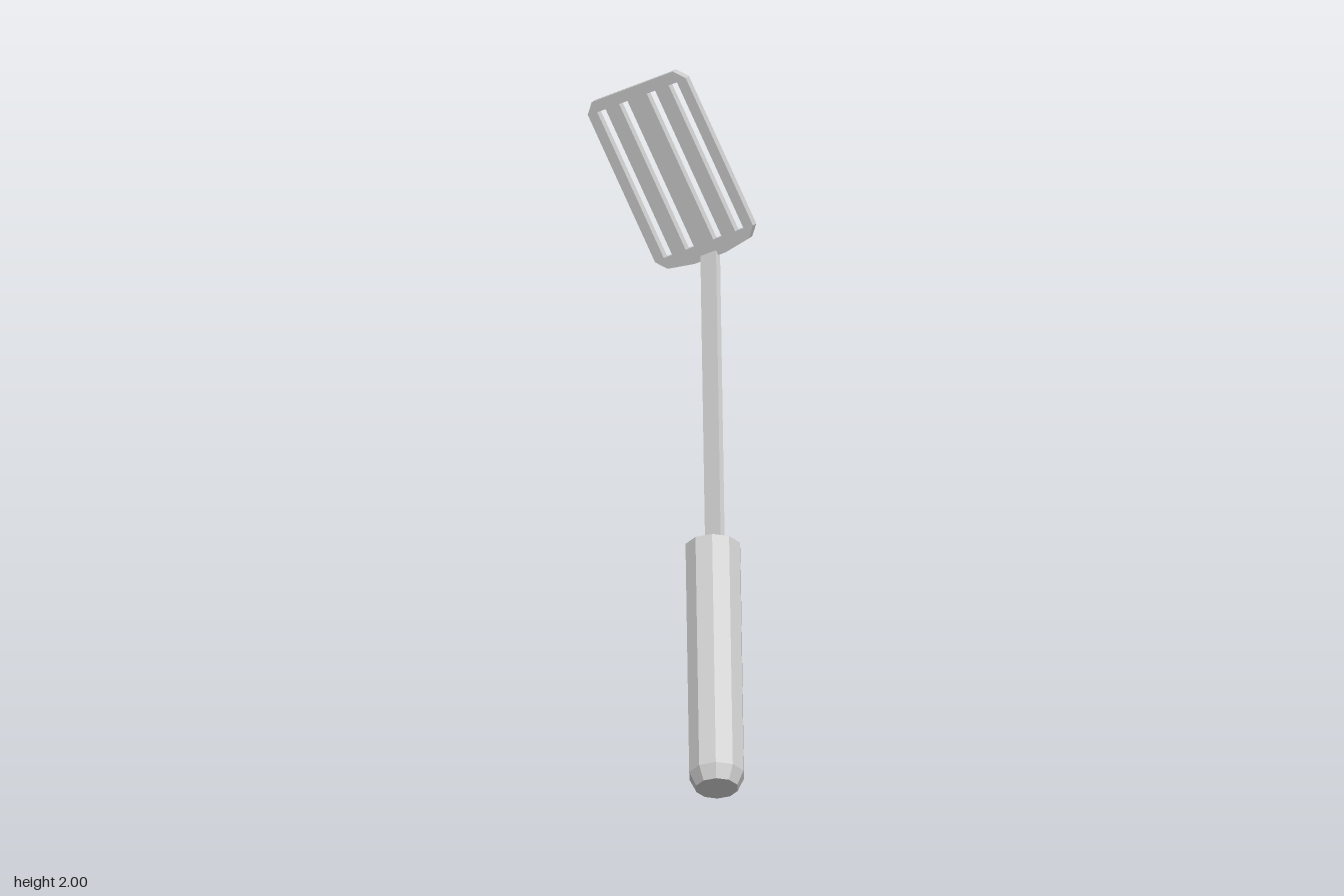
import * as THREE from 'three';

const material = new THREE.MeshStandardMaterial({ color: 0xcccccc, flatShading: true });

function part(name, geometry, parent) {
  const mesh = new THREE.Mesh(geometry, material);
  mesh.name = name;
  parent.add(mesh);
  return mesh;
}

// Flat blade with clipped corners, a slightly bowed lower edge and four slots
function bladeGeometry() {
  const w = 0.188, h = 0.28, c = 0.032, depth = 0.022;
  const right = [[0.06, -h - 0.015], [w - c, -h], [w, -h + c], [w, h - c], [w - c, h]];
  const left = right.map(([x, y]) => [-x, y]).reverse();
  const shape = new THREE.Shape([...right, ...left].map(([x, y]) => new THREE.Vector2(x, y)));

  const sw = 0.016, sh = 0.245;
  for (const x of [-0.137, -0.053, 0.053, 0.137]) {
    shape.holes.push(new THREE.Path([
      new THREE.Vector2(x - sw, -sh), new THREE.Vector2(x - sw, sh),
      new THREE.Vector2(x + sw, sh), new THREE.Vector2(x + sw, -sh),
    ]));
  }
  return new THREE.ExtrudeGeometry(shape, { depth, bevelEnabled: false }).translate(0, 0, -depth / 2);
}

export function createModel() {
  const model = new THREE.Group();
  model.name = 'spatula';

  // Tool built upright along y, with its origin at the top of the handle
  const tool = new THREE.Group();
  tool.name = 'tool';
  model.add(tool);

  // Ten-sided handle with a bevelled butt
  const profile = [[0, -0.83], [0.066, -0.83], [0.087, -0.785], [0.087, 0], [0, 0]]
    .map(([r, y]) => new THREE.Vector2(r, y));
  part('handle', new THREE.LatheGeometry(profile, 10), tool);

  // Flat shaft
  part('shaft', new THREE.BoxGeometry(0.06, 1.06, 0.02), tool).position.set(0, 0.49, -0.01);

  // Blade bent forward from the shaft
  const blade = part('blade', bladeGeometry(), tool);
  blade.position.set(0, 1.23, 0.175);
  blade.rotation.x = 0.718;

  // Lean the whole tool into its diagonal pose
  const along = new THREE.Vector3(-0.447, 0.752, -0.486).normalize();
  const front = new THREE.Vector3(0.892, 0.412, -0.184).cross(along).normalize();
  const across = along.clone().cross(front);
  tool.quaternion.setFromRotationMatrix(new THREE.Matrix4().makeBasis(across, along, front));
  tool.position.set(0.197, 0.675, 0.04);

  return model;
}
